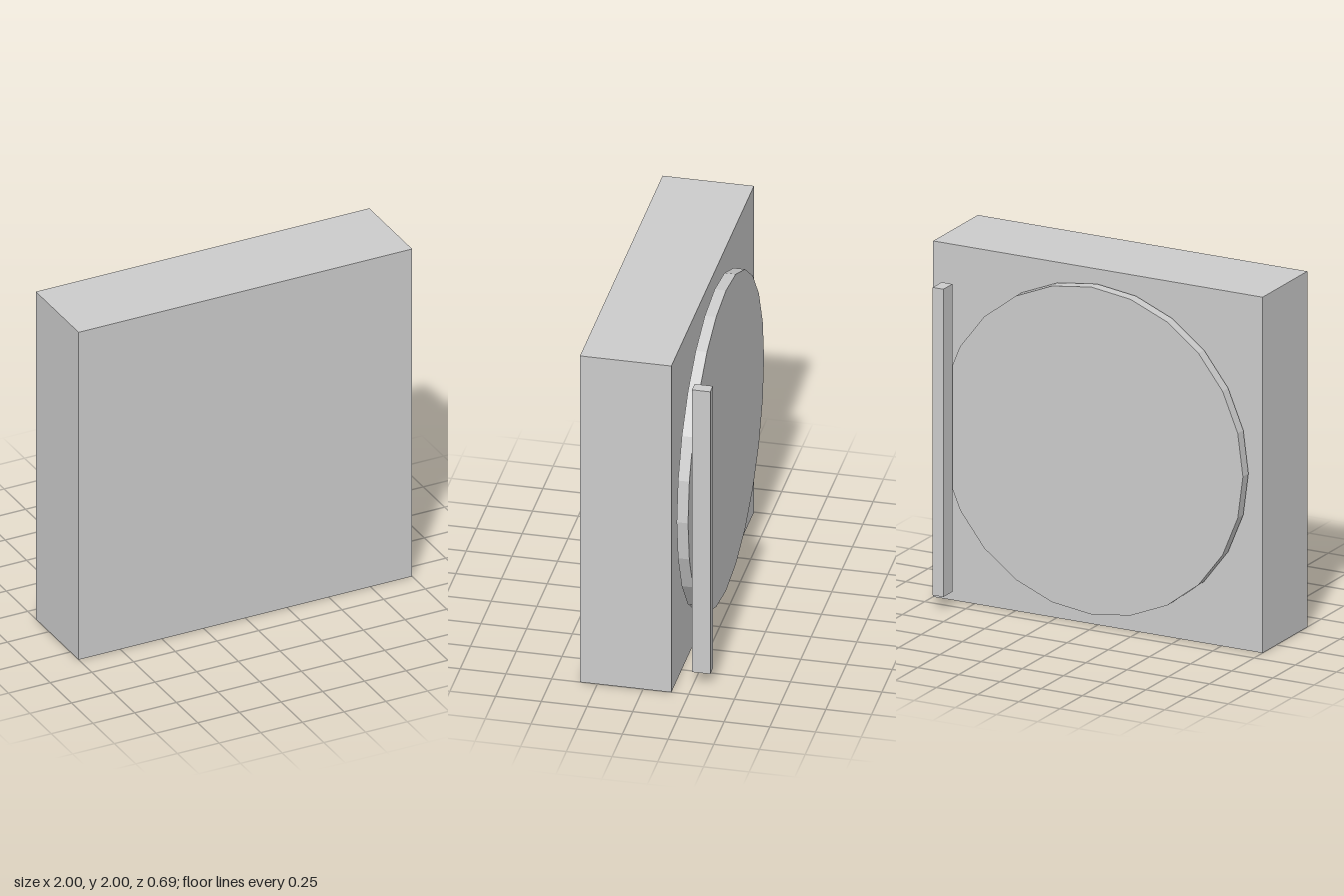
import * as THREE from 'three';

export function createModel() {
  const model = new THREE.Group();
  const material = new THREE.MeshStandardMaterial({ color: 0xcccccc, flatShading: true });

  const add = (name, geometry, x, y, z) => {
    const mesh = new THREE.Mesh(geometry, material);
    mesh.name = name;
    mesh.position.set(x, y, z);
    model.add(mesh);
    return mesh;
  };

  // Square slab body
  add('body', new THREE.BoxGeometry(2, 2, 0.5), 0, 1, 0.095);

  // 24-sided platter floating just behind the slab, corners on the x and y axes
  const platter = add('platter', new THREE.CylinderGeometry(0.92, 0.92, 0.062, 24), 0, 1, -0.197);
  platter.rotation.x = Math.PI / 2;

  // Upright arm near the edge, clear of the platter
  add('arm', new THREE.BoxGeometry(0.065, 1.73, 0.1), 0.867, 0.945, -0.295);

  return model;
}
